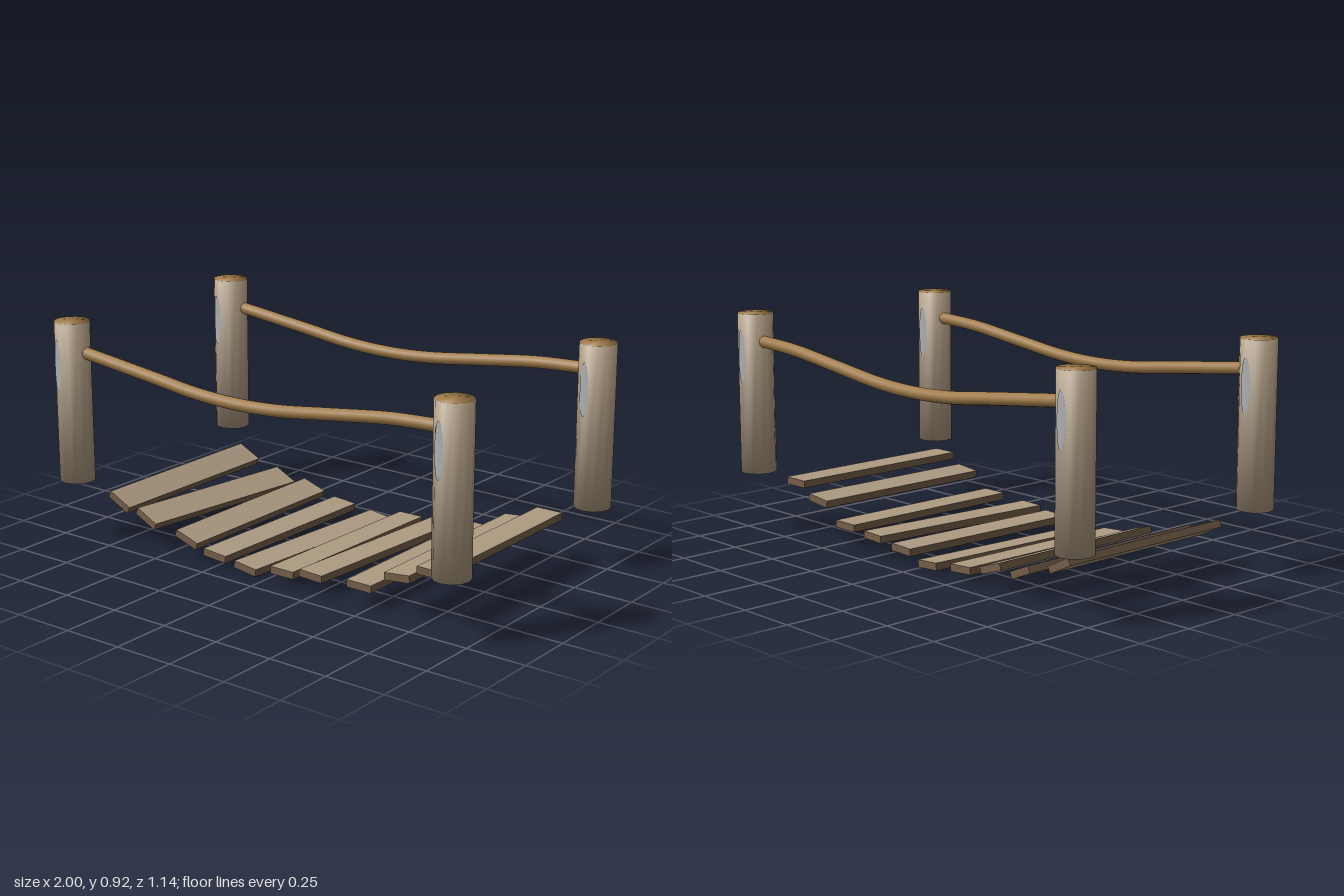
import * as THREE from 'three';

const mat = (name, color) => {
  const m = new THREE.MeshStandardMaterial({ color });
  m.name = name;
  return m;
};

export function createModel() {
  const weathered = mat('weathered wood', 0xae9b82);
  const plankSide = mat('plank side', 0x765f4b);
  const rope = mat('rope brown', 0xa07b4a);
  const grey = mat('blue grey', 0xaeb1b3);

  const model = new THREE.Group();
  model.name = 'ropeBridge';
  const add = (parent, name, geo, material) => {
    const mesh = new THREE.Mesh(geo, material);
    mesh.name = name;
    parent.add(mesh);
    return mesh;
  };

  // Rounded-looking ends: rim normals lean outwards and along the post
  const R = 0.074, LOW = 0.25, HIGH = 0.917, H = HIGH - LOW;
  const softenNormals = (geo, lean) => {
    const p = geo.attributes.position;
    for (let i = 0; i < p.count; i++) {
      const n = new THREE.Vector3(p.getX(i) / R, lean(p.getY(i)), p.getZ(i) / R).normalize();
      geo.attributes.normal.setXYZ(i, n.x, n.y, n.z);
    }
    return geo;
  };
  const shaft = softenNormals(
    new THREE.CylinderGeometry(R, R, H, 12, 1, true), (y) => Math.sign(y) * 0.7);
  const cap = softenNormals(
    new THREE.CircleGeometry(R, 12).rotateX(-Math.PI / 2), () => 0.7);

  // Worn patch: an ellipse wrapped around the shaft
  const patchAt = (angle) => {
    const geo = new THREE.CircleGeometry(1, 20);
    const p = geo.attributes.position;
    for (let i = 0; i < p.count; i++) {
      const a = angle + p.getX(i) * 0.29;
      p.setXYZ(i, Math.sin(a) * (R + 0.002), p.getY(i) * 0.11, Math.cos(a) * (R + 0.002));
    }
    geo.computeVertexNormals();
    return geo;
  };
  const frontPatch = patchAt(-0.22), backPatch = patchAt(Math.PI);

  for (const x of [-1, 1]) for (const z of [-1, 1]) {
    const post = new THREE.Group();
    post.name = 'post';
    post.position.set(x * 0.925, LOW + H / 2, z * 0.492);
    add(post, 'postShaft', shaft, weathered);
    add(post, 'postTop', cap, rope).position.y = H / 2;
    const foot = add(post, 'postFoot', cap, grey);
    foot.position.y = -H / 2;
    foot.rotation.x = Math.PI;
    add(post, 'wornPatchFront', frontPatch, grey).position.y = 0.157;
    add(post, 'wornPatchBack', backPatch, grey).position.y = 0.157;
    model.add(post);
  }

  // Sagging hand ropes
  const curve = new THREE.CatmullRomCurve3([
    [-0.87, 0.793], [-0.5, 0.75], [-0.28, 0.724], [-0.08, 0.716],
    [0.12, 0.725], [0.4, 0.76], [0.65, 0.791], [0.87, 0.803],
  ].map(([x, y]) => new THREE.Vector3(x, y, 0)));
  const ropeGeo = new THREE.TubeGeometry(curve, 40, 0.025, 12);
  for (const z of [-0.5, 0.484]) {
    add(model, 'handRope', ropeGeo, rope).position.z = z;
  }

  // Planks: x, y, roll and yaw in degrees
  const planks = [
    [-0.767, 0.161, -26, 0], [-0.592, 0.107, -23, -4.4], [-0.404, 0.078, -18, 0],
    [-0.246, 0.042, -4, -1.3], [-0.072, 0.022, -5, -3.8], [0.099, 0.051, 1, -1.7],
    [0.257, 0.069, 0, -4.2], [0.458, 0.083, 0, 0], [0.633, 0.158, 6, 0], [0.78, 0.211, 0, 0],
  ];
  const plankGeo = new THREE.BoxGeometry(0.115, 0.03, 0.832);
  const faces = [plankSide, plankSide, weathered, weathered, plankSide, plankSide];
  const rad = THREE.MathUtils.degToRad;
  for (const [x, y, roll, yaw] of planks) {
    const plank = add(model, 'plank', plankGeo, faces);
    plank.position.set(x, y, 0.003);
    plank.rotation.set(0, rad(yaw), rad(roll), 'ZYX');
  }
  return model;
}
